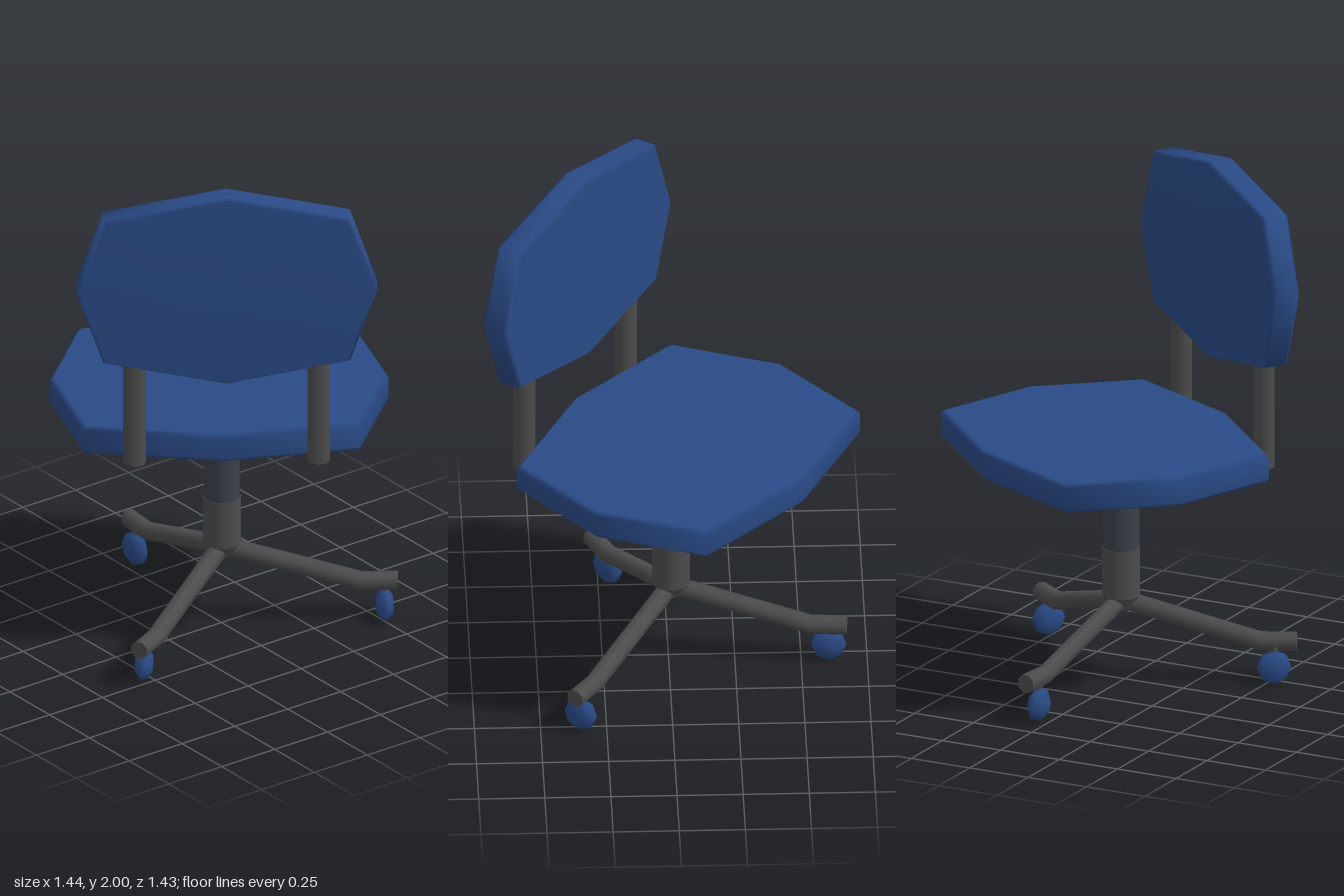
import * as THREE from 'three';

const blue = new THREE.MeshStandardMaterial({ color: 0x2a4a86 });
const grey = new THREE.MeshStandardMaterial({ color: 0x4c4c4c });
const slate = new THREE.MeshStandardMaterial({ color: 0x3b404a });

function add(parent, name, geometry, material, x = 0, y = 0, z = 0) {
  const mesh = new THREE.Mesh(geometry, material);
  mesh.name = name;
  mesh.position.set(x, y, z);
  parent.add(mesh);
  return mesh;
}

// Eight-sided pad lying flat: half width, half depth, corner position, thickness
function cushionGeometry(w, d, cornerW, cornerD, thickness) {
  const outline = [
    [w, 0], [cornerW, cornerD], [0, d], [-cornerW, cornerD],
    [-w, 0], [-cornerW, -cornerD], [0, -d], [cornerW, -cornerD],
  ];
  const h = thickness / 2;
  const rings = [[0.975, -h], [1, -h + 0.015], [1, h - 0.015], [0.975, h]];
  const positions = [];
  const index = [];
  for (const [s, y] of rings) {
    for (const [x, z] of outline) positions.push(x * s, y, z * s);
  }
  positions.push(0, -h, 0, 0, h - 0.008, 0);
  const n = 8, bottom = n * rings.length, top = bottom + 1, last = n * (rings.length - 1);
  for (let i = 0; i < n; i++) {
    const j = (i + 1) % n;
    for (let k = 0; k < last; k += n) {
      index.push(k + i, k + n + i, k + j, k + j, k + n + i, k + n + j);
    }
    index.push(bottom, i, j, top, last + j, last + i);
  }
  const geometry = new THREE.BufferGeometry();
  geometry.setAttribute('position', new THREE.Float32BufferAttribute(positions, 3));
  geometry.setIndex(index);
  geometry.computeVertexNormals();
  return geometry;
}

// Leg running along +x: slopes down from the hub, then levels out at the foot
function legGeometry() {
  const geometry = new THREE.CylinderGeometry(0.037, 0.037, 1, 8, 2);
  geometry.rotateY(Math.PI / 8);
  geometry.rotateZ(-Math.PI / 2);
  const path = [[0, 0.32], [0.53, 0.16], [0.665, 0.16]];
  const p = geometry.attributes.position;
  for (let i = 0; i < p.count; i++) {
    const [x, y] = path[Math.round((p.getX(i) + 0.5) * 2)];
    p.setXYZ(i, x, p.getY(i) + y, p.getZ(i));
  }
  return geometry;
}

// Small rounded wheel with its axle along +x
function wheelGeometry() {
  const profile = [[0, -0.033], [0.036, -0.031], [0.065, -0.012], [0.065, 0.012], [0.036, 0.031], [0, 0.033]];
  const geometry = new THREE.LatheGeometry(profile.map(([x, y]) => new THREE.Vector2(x, y)), 8);
  return geometry.rotateZ(-Math.PI / 2);
}

export function createModel() {
  const chair = new THREE.Group();
  chair.name = 'swivelChair';

  // Seat, backrest and posts, swivelled together on the column
  const upper = new THREE.Group();
  upper.name = 'swivelSeat';
  upper.position.set(0.045, 0, -0.075);
  upper.rotation.y = -0.618;
  chair.add(upper);
  add(upper, 'seat', cushionGeometry(0.64, 0.52, 0.525, 0.43, 0.115), blue, 0, 0.938, 0);
  const back = add(upper, 'backrest', cushionGeometry(0.57, 0.39, 0.467, 0.298, 0.11), blue, 0.015, 1.61, 0.495);
  back.rotation.x = -Math.PI / 2;
  for (const side of [-1, 1]) {
    add(upper, 'backrestPost', new THREE.CylinderGeometry(0.043, 0.043, 0.54, 8), grey, 0.015 + side * 0.348, 1.15, 0.505);
  }

  // Centre column in two stages with a tapered hub
  const base = new THREE.Group();
  base.name = 'base';
  base.position.set(0.01, 0, -0.01);
  chair.add(base);
  add(base, 'upperColumn', new THREE.CylinderGeometry(0.069, 0.069, 0.38, 12), slate, 0, 0.71, 0);
  add(base, 'lowerColumn', new THREE.CylinderGeometry(0.072, 0.072, 0.19, 12), grey, 0, 0.43, 0);
  add(base, 'hub', new THREE.CylinderGeometry(0.072, 0.04, 0.055, 12), grey, 0, 0.308, 0);

  // Three legs, evenly spaced
  for (const angle of [-85, 35, 155]) {
    add(base, 'leg', legGeometry(), grey).rotation.y = -THREE.MathUtils.degToRad(angle);
  }

  // Casters, each turned its own way: x, z, axle angle
  for (const [x, z, axle] of [[0.045, -0.605, 0], [0.51, 0.348, 33], [-0.526, 0.213, 45]]) {
    const wheel = add(chair, 'caster', wheelGeometry(), blue, x, 0.065, z);
    wheel.rotation.y = -THREE.MathUtils.degToRad(axle);
    add(chair, 'casterStem', new THREE.CylinderGeometry(0.015, 0.015, 0.06, 6), grey, x, 0.12, z);
  }
  return chair;
}
